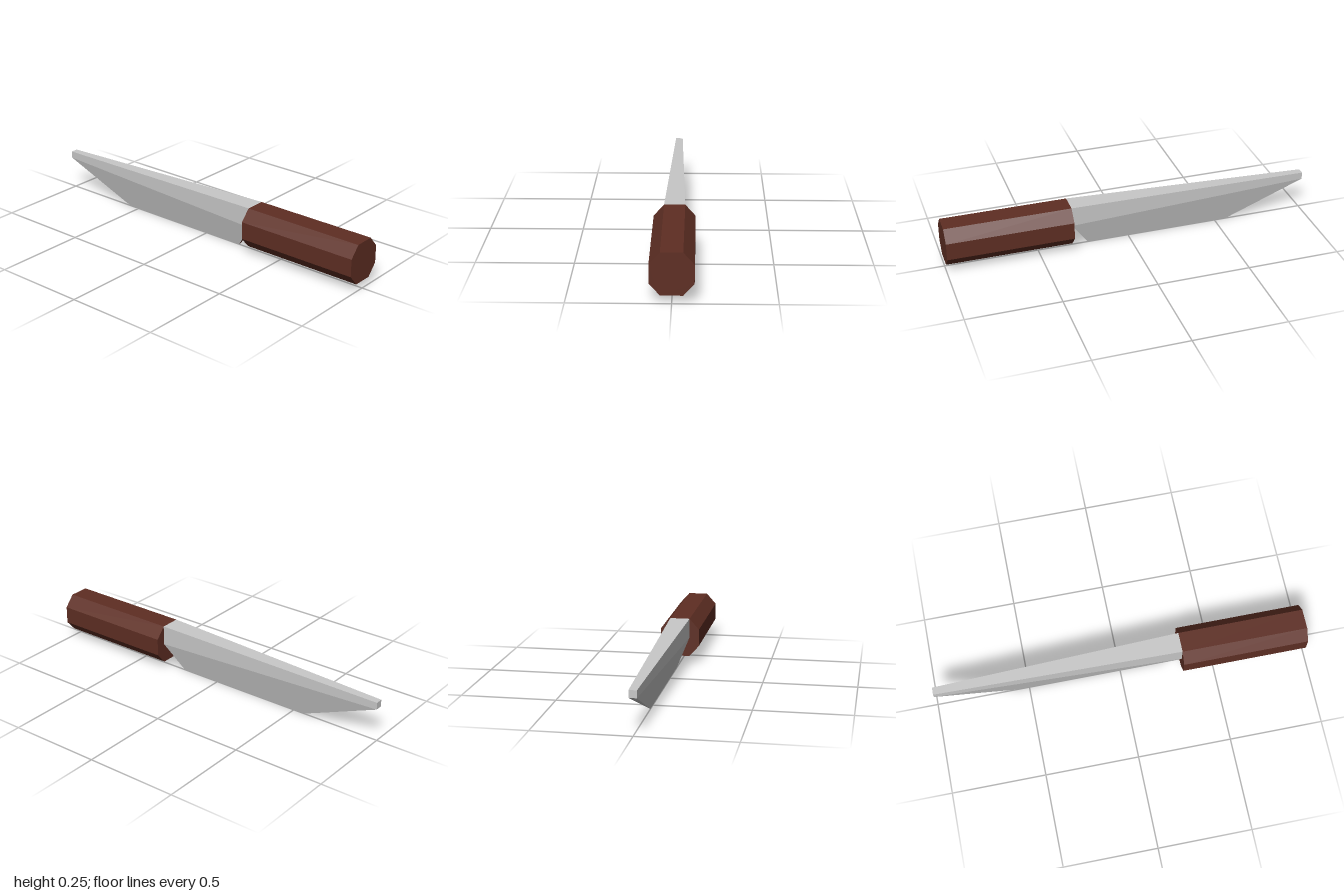
import * as THREE from 'three';

// Flat-shaded geometry from convex polygons, one normal per polygon
function polygons(faces) {
  const pos = [], nor = [];
  for (const f of faces) {
    const n = new THREE.Vector3();
    f.forEach((p, i) => n.add(p.clone().cross(f[(i + 1) % f.length])));
    n.normalize();
    for (let i = 1; i < f.length - 1; i++) {
      for (const p of [f[0], f[i], f[i + 1]]) {
        pos.push(p.x, p.y, p.z);
        nor.push(n.x, n.y, n.z);
      }
    }
  }
  const g = new THREE.BufferGeometry();
  g.setAttribute('position', new THREE.Float32BufferAttribute(pos, 3));
  g.setAttribute('normal', new THREE.Float32BufferAttribute(nor, 3));
  return g;
}

export function createModel() {
  const steel = new THREE.MeshStandardMaterial({ color: 0xc8c8c8 });
  steel.name = 'steel';
  const wood = new THREE.MeshStandardMaterial({ color: 0x5e2e23 });
  wood.name = 'darkWood';

  const group = new THREE.Group();
  group.name = 'knife';
  const add = (name, geometry, material) => {
    const mesh = new THREE.Mesh(geometry, material);
    mesh.name = name;
    group.add(mesh);
    return mesh;
  };

  // Blade corners on the front side; the cutting edge lies on z = 0
  const v = (x, y, z) => new THREE.Vector3(x, y, z);
  const flip = (p) => v(p.x, p.y, -p.z);
  const mirror = ([first, ...rest]) => [first, ...rest.reverse()].map(flip);
  const tipTop = v(-1, 0.223, 0.02), tipLow = v(-1, 0.185, 0.02);
  const heelTop = v(0.325, 0.255, 0.054), heelLow = v(0.325, 0.148, 0.054);
  const edgeFront = v(-0.565, 0, 0), edgeBack = v(0.225, 0, 0);

  const flat = [tipTop, tipLow, heelLow, heelTop];
  const bevel = [edgeFront, edgeBack, heelLow, tipLow];
  add('blade', polygons([
    flat, mirror(flat),
    bevel, mirror(bevel),
    [tipTop, heelTop, flip(heelTop), flip(tipTop)], // spine
    [flip(tipTop), flip(tipLow), tipLow, tipTop], // blunt tip
    [flip(tipLow), edgeFront, tipLow], // underside of the tip
  ]), steel);

  // Sloping heel, coloured like the handle
  add('bladeHeel', polygons([[heelLow, edgeBack, flip(heelLow)]]), wood);

  // Eight-sided handle
  const outline = [
    [0.107, -0.047], [0.107, 0.047], [0.054, 0.107], [-0.054, 0.107],
    [-0.107, 0.047], [-0.107, -0.047], [-0.054, -0.107], [0.054, -0.107],
  ].map(([x, y]) => new THREE.Vector2(x, y));
  const handle = add('handle', new THREE.ExtrudeGeometry(new THREE.Shape(outline), {
    depth: 0.675, bevelEnabled: false,
  }), wood);
  handle.rotation.y = Math.PI / 2;
  handle.position.set(0.325, 0.148, 0);

  return group;
}
